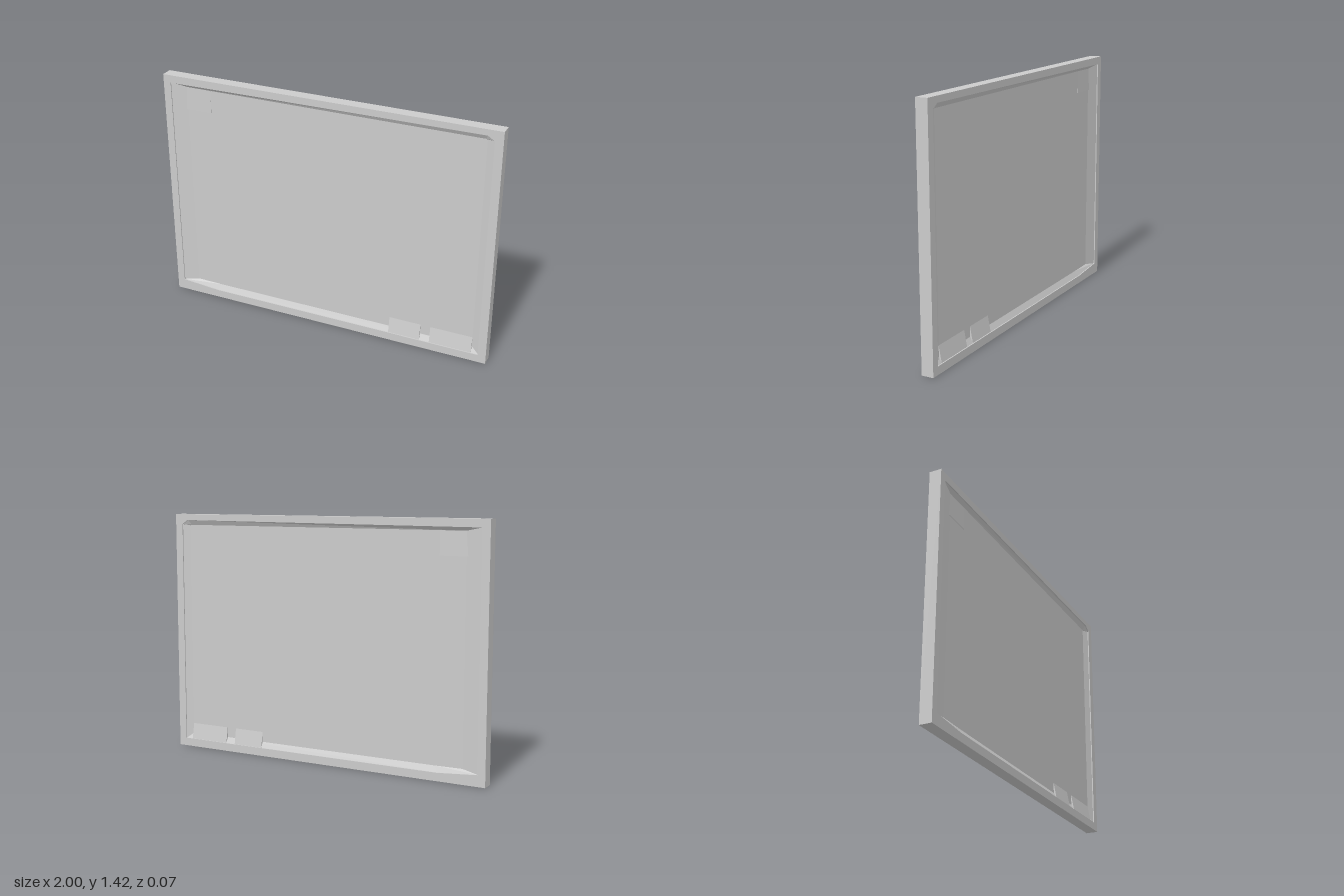
import * as THREE from 'three';

const material = new THREE.MeshStandardMaterial({ color: 0xcccccc, flatShading: true });
const HALF = 0.035, LIP = 0.029, FLOOR = 0.012;

// Slightly uneven opening and the floor outline inside it, both counter-clockwise
const opening = [[-0.955, 0.065], [-0.72, 0.047], [0.953, 0.047], [0.953, 1.36], [0.915, 1.385], [-0.955, 1.375]];
const floor = [[-0.86, 0.082], [-0.7, 0.08], [0.91, 0.08], [0.91, 1.353], [0.9, 1.356], [-0.86, 1.356]];

// Flat-faced mesh from convex polygons; side -1 mirrors it to the back
function faceted(name, polygons, side) {
  const positions = [];
  for (const p of polygons) {
    for (let i = 1; i < p.length - 1; i++) {
      const tri = side > 0 ? [p[0], p[i], p[i + 1]] : [p[0], p[i + 1], p[i]];
      for (const [x, y, z] of tri) positions.push(x, y, z * side);
    }
  }
  const geometry = new THREE.BufferGeometry();
  geometry.setAttribute('position', new THREE.Float32BufferAttribute(positions, 3));
  geometry.computeVertexNormals();
  const mesh = new THREE.Mesh(geometry, material);
  mesh.name = name;
  return mesh;
}

// Wedge standing proud at its lower edge and sloping back to the floor
function wedge(name, x0, x1, y0, y1, top, side) {
  const z = FLOOR;
  return faceted(name, [
    [[x0, y0, top], [x1, y0, top], [x1, y1, z], [x0, y1, z]],
    [[x1, y0, z], [x1, y1, z], [x1, y0, top]],
    [[x0, y0, z], [x0, y0, top], [x0, y1, z]],
    [[x0, y0, z], [x1, y0, z], [x1, y0, top], [x0, y0, top]],
  ], side);
}

// Outer frame with a hole through it
function makeFrame() {
  const shape = new THREE.Shape([[-1, 0], [1, 0], [1, 1.42], [-1, 1.42]].map(p => new THREE.Vector2(...p)));
  shape.holes.push(new THREE.Path(opening.map(p => new THREE.Vector2(...p))));
  const geometry = new THREE.ExtrudeGeometry(shape, { depth: 2 * HALF, bevelEnabled: false });
  geometry.translate(0, 0, -HALF);
  const mesh = new THREE.Mesh(geometry, material);
  mesh.name = 'frame';
  return mesh;
}

// Recessed panel with sloping borders and small raised details
function makePanel(side) {
  const group = new THREE.Group();
  group.name = side > 0 ? 'frontPanel' : 'backPanel';
  const slopes = opening.map((p, i) => {
    const j = (i + 1) % opening.length;
    return [[...p, LIP], [...opening[j], LIP], [...floor[j], FLOOR], [...floor[i], FLOOR]];
  });
  group.add(
    faceted('panelSlopes', slopes, side),
    faceted('panelFloor', [floor.map(p => [...p, FLOOR])], side),
    wedge('smallLabel', 0.41, 0.6, 0.047, 0.14, LIP, side),
    wedge('largeLabel', 0.66, 0.91, 0.047, 0.14, LIP, side),
    wedge('upperLedge', -0.9, -0.71, 1.222, 1.356, FLOOR + 0.002, side),
  );
  return group;
}

export function createModel() {
  const model = new THREE.Group();
  model.name = 'framedPanel';
  model.add(makeFrame(), makePanel(1), makePanel(-1));
  return model;
}
